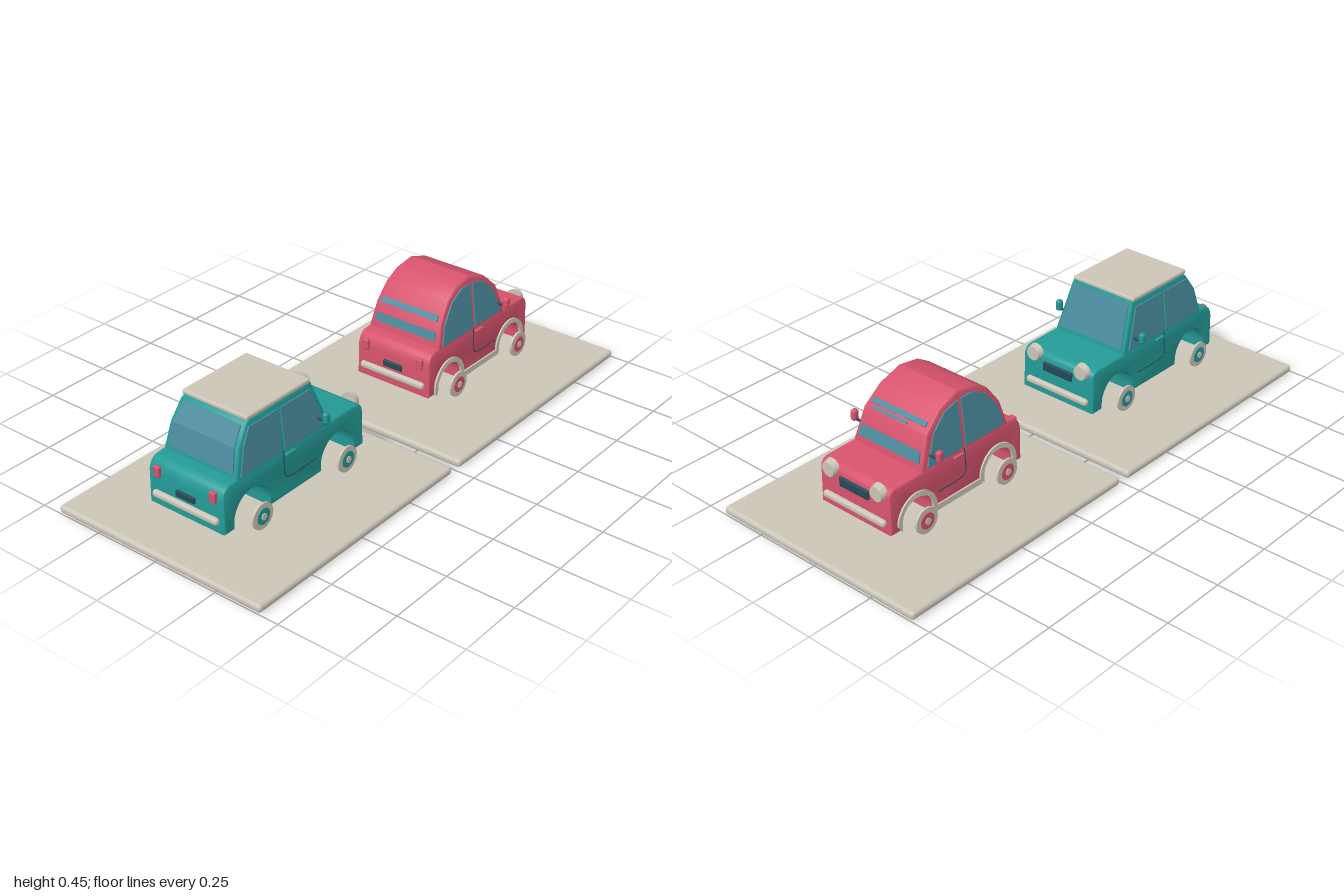
import * as THREE from 'three';
import { toCreasedNormals } from 'three/addons/utils/BufferGeometryUtils.js';
import { RoundedBoxGeometry } from 'three/addons/geometries/RoundedBoxGeometry.js';

const paint = (name, color) => {
  const m = new THREE.MeshStandardMaterial({ color });
  m.name = name;
  return m;
};
const V = (x, y) => new THREE.Vector2(x, y);
const WHEEL_Y = 0.108, FLOOR = 0.085, BELT = 0.25;

export function createModel() {
  const teal = paint('teal paint', 0x239a96), red = paint('red paint', 0xd6536c);
  const beige = paint('beige trim', 0xcbc5b7), glass = paint('blue glass', 0x4a8a9c);
  const dark = paint('dark seam', 0x234a57);

  const add = (group, name, geo, mat, x = 0, y = 0, z = 0) => {
    const m = new THREE.Mesh(geo, mat);
    m.name = name;
    m.position.set(x, y, z);
    group.add(m);
    return m;
  };

  // Side profile extruded across the car; half width follows the height
  const taperedSolid = (shape, halfAt, bevel) => {
    const g = new THREE.ExtrudeGeometry(shape, {
      depth: 2 - 2 * bevel * 6, bevelEnabled: true, bevelThickness: bevel * 6, bevelSize: bevel,
      bevelOffset: -bevel, bevelSegments: 3, curveSegments: 20,
    });
    g.translate(0, 0, -1 + bevel * 6);
    const p = g.attributes.position;
    for (let i = 0; i < p.count; i++) p.setZ(i, p.getZ(i) * halfAt(p.getY(i)));
    return toCreasedNormals(g, 0.5);
  };

  // Thin plate that lies on one leaning side (s = +1 or -1)
  const sidePlate = (shape, halfAt, s, t) => {
    const g = new THREE.ExtrudeGeometry(shape, { depth: t, bevelEnabled: false, curveSegments: 20 });
    const p = g.attributes.position;
    for (let i = 0; i < p.count; i++)
      p.setZ(i, s * halfAt(p.getY(i)) + p.getZ(i) - t / 2 + s * t * 0.2);
    g.computeVertexNormals();
    return g;
  };

  // Thin plate spanning the width, between profile points a (low) and b (high)
  const crossPlate = (a, b, wa, wb, zOff = 0, t = 0.008) => {
    const g = new THREE.BoxGeometry(1, 1, 1), p = g.attributes.position;
    const d = b.clone().sub(a).normalize();
    for (let i = 0; i < p.count; i++) {
      const v = p.getY(i) + 0.5, k = p.getX(i) * t;
      p.setXYZ(i, a.x + (b.x - a.x) * v + d.y * k, a.y + (b.y - a.y) * v - d.x * k,
        Math.sign(p.getZ(i)) * (wa + (wb - wa) * v) + zOff);
    }
    g.computeVertexNormals();
    return g;
  };

  function createCar(o) {
    const car = new THREE.Group();
    car.name = o.name;
    const { rear, front, wheels, arch, half, top, topHalf } = o;
    const bodyHalf = y => half - 0.005 * Math.max(0, (y - 0.17) / 0.08);
    const cabinHalf = y => half - 0.005 + (topHalf - half + 0.005) * (y - BELT) / (top - BELT);

    // Lower body with open wheel arches
    const b = new THREE.Shape();
    b.moveTo(rear, FLOOR);
    for (const w of wheels) {
      b.lineTo(w - arch, FLOOR);
      b.lineTo(w - arch, WHEEL_Y);
      b.absarc(w, WHEEL_Y, arch, Math.PI, 0, true);
      b.lineTo(w + arch, FLOOR);
    }
    b.lineTo(front, FLOOR);
    b.lineTo(front, 0.215);
    b.quadraticCurveTo(front - 0.002, 0.245, front - 0.03, 0.247);
    b.lineTo(o.cabin[0].x, BELT + 0.003);
    b.lineTo(rear + 0.035, BELT);
    b.quadraticCurveTo(rear + 0.005, 0.245, rear, 0.205);
    b.closePath();
    add(car, 'body', taperedSolid(b, bodyHalf, 0.006), o.paint);

    // Cabin
    add(car, 'cabin', taperedSolid(new THREE.Shape([V(o.cabin[0].x, 0.24), ...o.cabin,
      V(o.cabin.at(-1).x, 0.24)].reverse()), cabinHalf, 0.008), o.paint);

    for (const s of [1, -1]) {
      const side = new THREE.Group();
      side.name = s > 0 ? 'leftSide' : 'rightSide';
      car.add(side);
      o.windows.forEach((pts, i) => add(side, i ? 'frontSideWindow' : 'rearSideWindow',
        sidePlate(new THREE.Shape(pts), cabinHalf, s, 0.007), glass));

      // Wheels
      for (const w of wheels) {
        const wheel = new THREE.Group();
        wheel.name = 'wheel';
        wheel.position.set(w, WHEEL_Y, s * 0.199);
        for (const [n, r, t, m] of [['tyre', 0.047, 0.008, beige], ['hub', 0.029, 0.014, o.paint],
          ['hubCap', 0.012, 0.02, beige]])
          add(wheel, n, new THREE.CylinderGeometry(r, r, t, 28).rotateX(Math.PI / 2), m);
        side.add(wheel);
      }

      // Door seam and handle
      const z = s * (half + 0.0005), x = o.doorX;
      const seam = new THREE.CatmullRomCurve3([[x, 0.25], [x, 0.21], [x, 0.175], [x + 0.006, 0.157],
        [x + 0.025, 0.15], [wheels[1] - arch - 0.025, 0.15]].map(q =>
        new THREE.Vector3(q[0], q[1], s * (bodyHalf(q[1]) + 0.0005))));
      add(side, 'doorSeam', new THREE.TubeGeometry(seam, 30, 0.002, 6), dark);
      add(side, 'doorHandle', new RoundedBoxGeometry(0.045, 0.01, 0.012, 2, 0.004), o.paint,
        x + 0.03, 0.236, z);

      // Mirror
      add(side, 'mirrorArm', new THREE.CylinderGeometry(0.005, 0.005, 0.05, 10).rotateX(Math.PI / 2),
        dark, o.mirrorX, 0.292, s * 0.165);
      add(side, 'mirror', new RoundedBoxGeometry(0.026, 0.042, 0.022, 3, 0.01), o.paint,
        o.mirrorX, 0.305, s * 0.19);

      // Lamps
      add(side, 'headlight', new THREE.CylinderGeometry(0.026, 0.032, 0.024, 28).rotateZ(-Math.PI / 2),
        beige, front + 0.001, o.lampY, s * 0.107);
      add(side, 'tailLight', new RoundedBoxGeometry(0.016, 0.042, 0.026, 2, 0.006), red,
        rear - 0.003, 0.212, s * 0.118);

      // Arch trim and sill
      if (o.trim) {
        for (const w of wheels) {
          const r = new THREE.Shape(), R = arch + 0.017;
          r.moveTo(w + R, FLOOR);
          r.absarc(w, WHEEL_Y, R, 0, Math.PI, false);
          r.lineTo(w - R, FLOOR);
          r.lineTo(w - arch, FLOOR);
          r.absarc(w, WHEEL_Y, arch, Math.PI, 0, true);
          r.lineTo(w + arch, FLOOR);
          add(side, 'archTrim', sidePlate(r, bodyHalf, s, 0.009), beige);
        }
        const a = wheels[0] + arch + 0.01, c = wheels[1] - arch - 0.01;
        add(side, 'sill', sidePlate(new THREE.Shape([V(a, FLOOR), V(c, FLOOR), V(c, 0.106), V(a, 0.106)]),
          bodyHalf, s, 0.009), beige);
      }
    }

    // Glass across the front and back
    for (const [n, ...args] of o.crossGlass) add(car, n, crossPlate(...args), glass);

    // Grille, bumpers and rear plate
    add(car, 'grille', new RoundedBoxGeometry(0.012, 0.035, 0.13, 2, 0.005), dark, front + 0.002, 0.198, 0);
    add(car, 'frontBumper', new RoundedBoxGeometry(0.024, 0.025, 0.276, 3, 0.01), beige, front + 0.004, 0.124, 0);
    add(car, 'rearBumper', new RoundedBoxGeometry(0.024, 0.025, 0.276, 3, 0.01), beige, rear - 0.004, 0.128, 0);
    add(car, 'rearPlate', new RoundedBoxGeometry(0.012, 0.024, 0.08, 2, 0.004), dark, rear - 0.002, 0.165, 0);
    return car;
  }

  const model = new THREE.Group();
  model.name = 'twoCars';

  // Display slabs
  add(model, 'leftSlab', new RoundedBoxGeometry(0.985, 0.03, 0.86, 4, 0.013), beige, 0.5075, 0.016, 0);
  add(model, 'rightSlab', new RoundedBoxGeometry(0.975, 0.03, 0.86, 4, 0.013), beige, -0.5125, 0.016, 0);

  // Square-roofed car
  const tealCar = createCar({
    name: 'tealCar', paint: teal, rear: -0.85, front: -0.165, wheels: [-0.72, -0.3], arch: 0.083,
    half: 0.16, top: 0.425, topHalf: 0.135, doorX: -0.565, mirrorX: -0.393, lampY: 0.235,
    cabin: [V(-0.782, BELT), V(-0.757, 0.345), V(-0.712, 0.41), V(-0.695, 0.425), V(-0.402, 0.425), V(-0.335, BELT)],
    windows: [
      [V(-0.765, 0.256), V(-0.573, 0.256), V(-0.573, 0.403), V(-0.705, 0.403), V(-0.738, 0.35)],
      [V(-0.558, 0.256), V(-0.362, 0.256), V(-0.415, 0.403), V(-0.558, 0.403)],
    ],
    crossGlass: [
      ['windscreen', V(-0.34, 0.262), V(-0.398, 0.413), 0.14, 0.122],
      ['rearWindow', V(-0.778, 0.265), V(-0.757, 0.345), 0.138, 0.128],
      ['rearWindowTop', V(-0.757, 0.345), V(-0.715, 0.406), 0.128, 0.119],
    ],
  });
  add(tealCar, 'roof', new RoundedBoxGeometry(0.305, 0.018, 0.272, 3, 0.007), beige, -0.556, 0.429, 0);
  model.add(tealCar);

  // Dome-roofed car
  model.add(createCar({
    name: 'redCar', paint: red, rear: 0.208, front: 0.813, wheels: [0.325, 0.7], arch: 0.07,
    half: 0.158, top: 0.452, topHalf: 0.13, doorX: 0.475, mirrorX: 0.625, lampY: 0.227, trim: true,
    cabin: [V(0.268, BELT), V(0.294, 0.34), V(0.34, 0.405), V(0.395, 0.439), V(0.475, 0.452),
      V(0.562, 0.42), V(0.628, 0.36), V(0.668, BELT)],
    windows: [
      [V(0.288, 0.256), V(0.468, 0.256), V(0.468, 0.425), V(0.415, 0.425), V(0.357, 0.395), V(0.308, 0.33)],
      [V(0.484, 0.256), V(0.643, 0.256), V(0.6, 0.36), V(0.545, 0.408), V(0.484, 0.425)],
    ],
    crossGlass: [
      ['windscreenLower', V(0.661, 0.27), V(0.648, 0.306), 0.136, 0.13],
      ['windscreenUpper', V(0.612, 0.375), V(0.598, 0.388), 0.12, 0.119],
      ['windscreenSliver', V(0.625, 0.363), V(0.618, 0.37), 0.077, 0.077, 0.028],
      ['rearWindowLower', V(0.276, 0.275), V(0.284, 0.305), 0.13, 0.128],
      ['rearWindowUpper', V(0.295, 0.342), V(0.308, 0.36), 0.124, 0.122],
    ],
  }));
  return model;
}
